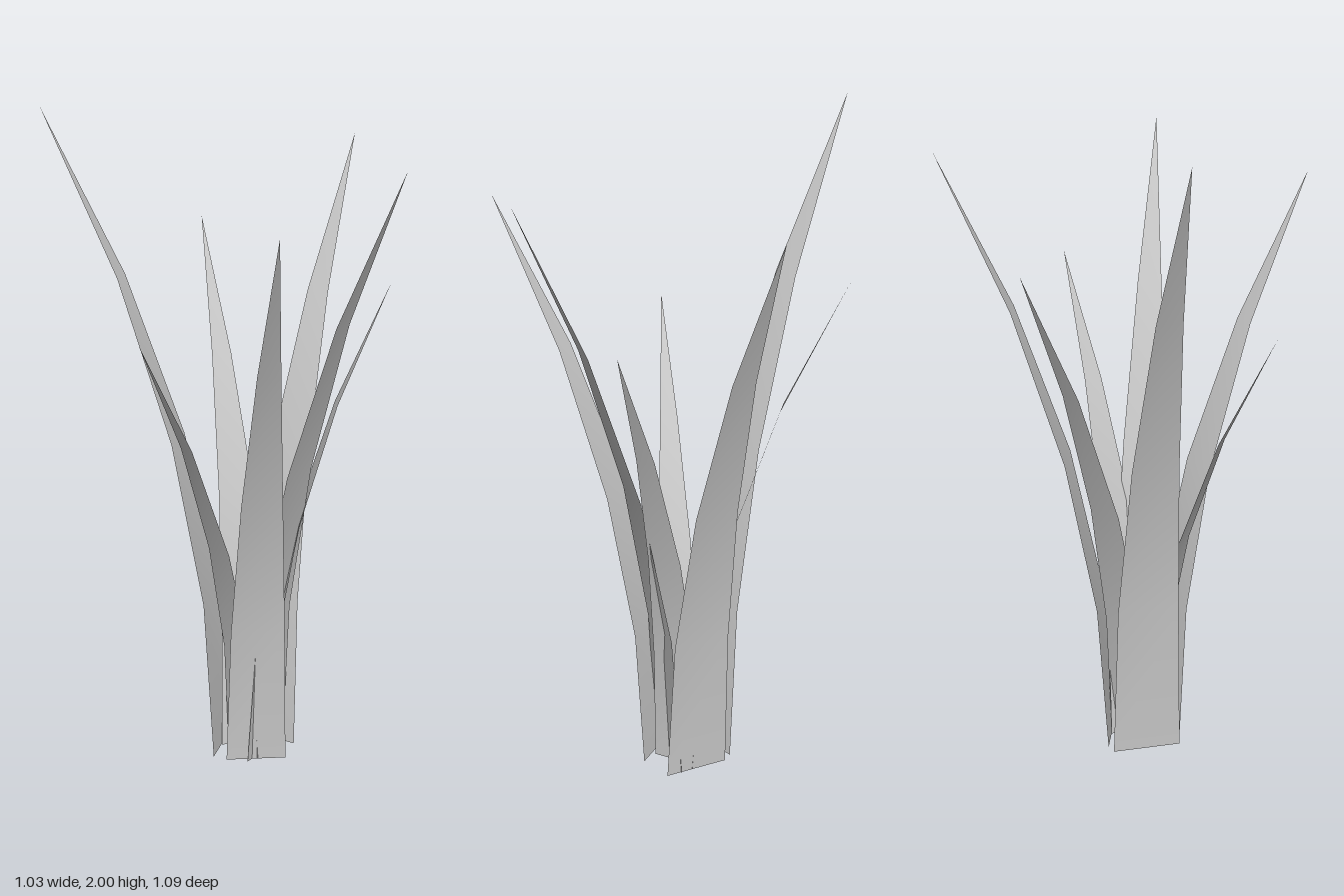
import * as THREE from 'three';

// Each leaf: base centre [x, z], tip [x, height, z]
const LEAVES = [
  { base: [0.010, -0.118], tip: [-0.52, 2.0, -0.31] },
  { base: [0.090, -0.125], tip: [-0.02, 1.625, -0.54] },
  { base: [0.158, -0.155], tip: [0.465, 1.88, -0.545] },
  { base: [0.145, -0.085], tip: [0.515, 1.5, -0.085] },
  { base: [0.140, -0.050], tip: [0.495, 1.88, 0.245] },
  { base: [0.105, 0.007], tip: [0.105, 1.75, 0.54] },
  { base: [0.070, -0.050], tip: [-0.255, 1.38, 0.17] },
];
const SEGMENTS = 4;

// Flat strip that bends outward quadratically and tapers to a point
function leafGeometry({ base: [bx, bz], tip: [tx, height, tz] }) {
  const dx = tx - bx, dz = tz - bz, reach = Math.hypot(dx, dz);
  const sideX = dz / reach, sideZ = -dx / reach;
  const positions = [], index = [];
  for (let i = 0; i < SEGMENTS; i++) {
    const t = i / SEGMENTS;
    const half = 0.053 * height * (1 - t ** 1.6);
    for (const s of [-1, 1]) {
      positions.push(bx + dx * t * t + s * sideX * half, height * t, bz + dz * t * t + s * sideZ * half);
    }
    const a = 2 * i;
    if (i < SEGMENTS - 1) index.push(a, a + 1, a + 3, a, a + 3, a + 2);
    else index.push(a, a + 1, a + 2);
  }
  positions.push(tx, height, tz);
  const geometry = new THREE.BufferGeometry();
  geometry.setAttribute('position', new THREE.Float32BufferAttribute(positions, 3));
  geometry.setIndex(index);
  geometry.computeVertexNormals();
  return geometry;
}

export function createModel() {
  const plant = new THREE.Group();
  plant.name = 'leafTuft';
  const material = new THREE.MeshStandardMaterial({ color: 0xcccccc, side: THREE.DoubleSide });
  LEAVES.forEach((leaf, i) => {
    const mesh = new THREE.Mesh(leafGeometry(leaf), material);
    mesh.name = `leaf${i + 1}`;
    plant.add(mesh);
  });
  return plant;
}
